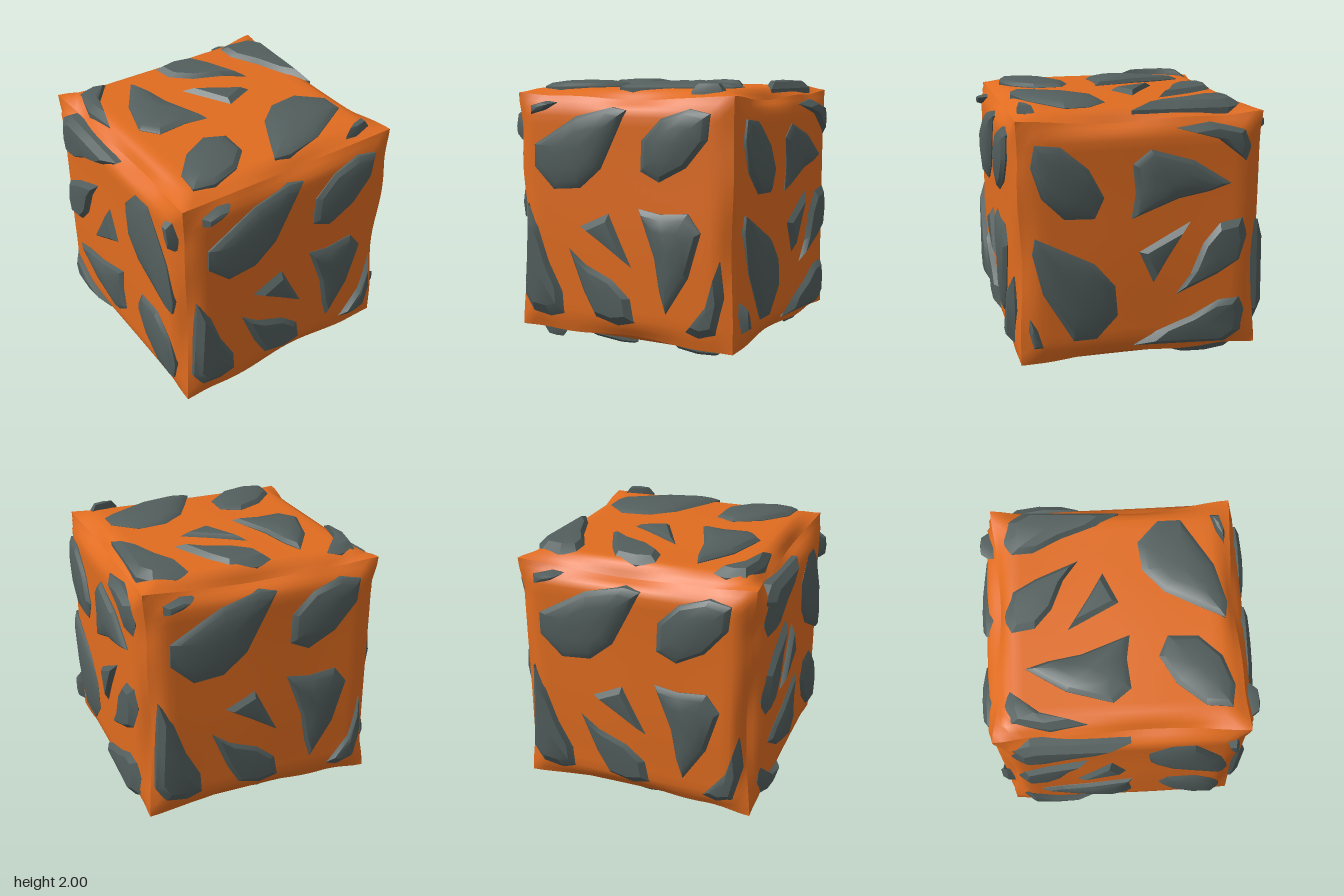
import * as THREE from 'three';
import { toCreasedNormals } from 'three/addons/utils/BufferGeometryUtils.js';

const orange = new THREE.MeshStandardMaterial({ name: 'moltenOrange', color: 0xe06c20 });
const grey = new THREE.MeshStandardMaterial({ name: 'stoneGrey', color: 0x525e5d });

// Stone outlines on one face, centred; the domed ones are smooth, the others have a bevelled top
const stones = [
  { name: 'largeStone', dome: true, pts: [[-.73, .52], [-.35, .74], [-.05, .81], [.07, .79], [0, .65], [-.15, .36], [-.33, .21], [-.56, .19], [-.73, .35]] },
  { name: 'roundStone', dome: true, pts: [[.2, .58], [.36, .74], [.58, .81], [.74, .78], [.72, .6], [.55, .4], [.34, .29], [.19, .36]] },
  { name: 'wedgeStone', dome: true, pts: [[.17, .09], [.35, .06], [.57, .08], [.67, -.05], [.57, -.38], [.39, -.66], [.34, -.5], [.3, -.26]] },
  { name: 'cornerChip', k: .65, pts: [[-.77, .81], [-.63, .845], [-.54, .835], [-.63, .78], [-.77, .74]] },
  { name: 'tallStone', k: .72, pts: [[-.82, .06], [-.72, -.08], [-.62, -.37], [-.5, -.6], [-.49, -.77], [-.62, -.8], [-.78, -.78], [-.86, -.65], [-.84, -.3]] },
  { name: 'slantedStone', k: .72, pts: [[-.46, -.23], [-.3, -.35], [-.05, -.45], [.11, -.59], [.14, -.77], [-.02, -.8], [-.21, -.76], [-.32, -.57]] },
  { name: 'triangleStone', k: .6, pts: [[-.36, -.07], [-.08, .06], [.14, -.38], [-.14, -.2]] },
  { name: 'sideShard', k: .65, pts: [[.81, -.24], [.84, -.5], [.78, -.77], [.65, -.81], [.54, -.78], [.72, -.55]] },
];

// Stack shrinking copies of an outline and close them at the middle
function stoneGeometry({ pts, dome, k }) {
  const outline = pts.map(([x, y]) => new THREE.Vector2(x, y));
  if (THREE.ShapeUtils.area(outline) < 0) outline.reverse();
  const n = outline.length;
  const mid = outline.reduce((s, p) => s.add(p), new THREE.Vector2()).divideScalar(n);
  const rings = dome
    ? [[1, .86], [1, .95], [.85, .977], [.5, .994]]
    : [[1, .86], [1, .93], [k, .983]];
  const pos = [], index = [];
  for (const [s, z] of rings)
    for (const p of outline) pos.push(mid.x + (p.x - mid.x) * s, mid.y + (p.y - mid.y) * s, z);
  pos.push(mid.x, mid.y, dome ? 1 : .993);
  for (let r = 0; r < rings.length; r++) {
    for (let i = 0; i < n; i++) {
      const a = r * n + i, b = r * n + (i + 1) % n;
      if (r === rings.length - 1) index.push(a, b, rings.length * n);
      else index.push(a, b, b + n, a, b + n, a + n);
    }
  }
  const geo = new THREE.BufferGeometry();
  geo.setAttribute('position', new THREE.Float32BufferAttribute(pos, 3));
  geo.setIndex(index);
  return toCreasedNormals(geo, .5);
}

// Cube whose faces sag unevenly toward creased edges
function bodyGeometry() {
  const geo = new THREE.BoxGeometry(2, 2, 2, 28, 28, 28);
  const pos = geo.attributes.position, v = new THREE.Vector3();
  for (let i = 0; i < pos.count; i++) {
    v.fromBufferAttribute(pos, i);
    const [c, b] = [Math.abs(v.x), Math.abs(v.y), Math.abs(v.z)].sort((p, q) => p - q);
    const edge = THREE.MathUtils.smoothstep(b, .78, 1.04);
    const corner = THREE.MathUtils.smoothstep(c, .6, 1);
    const wave = Math.sin(5 * v.x + 1) + Math.sin(5 * v.y + 2.5) + Math.sin(5 * v.z + .4);
    const sag = THREE.MathUtils.lerp(.075 + .014 * wave, .045, corner);
    v.multiplyScalar(.945 + .003 * wave * (1 - edge) - sag * edge);
    pos.setXYZ(i, v.x, v.y, v.z);
  }
  geo.computeVertexNormals();
  return geo;
}

export function createModel() {
  const model = new THREE.Group();
  model.name = 'rockCube';
  const body = new THREE.Mesh(bodyGeometry(), orange);
  body.name = 'body';
  body.position.y = 1;
  model.add(body);

  // The same stone pattern on every face, turned in its plane
  const h = Math.PI / 2;
  const faces = [
    ['frontStones', 0, 0, 0], ['backStones', 0, 2 * h, 0],
    ['leftStones', 0, h, h], ['rightStones', 0, -h, -h],
    ['topStones', -h, 0, 2 * h], ['bottomStones', h, 0, 0],
  ];
  const parts = stones.map((s) => [s.name, stoneGeometry(s)]);
  for (const [name, rx, ry, rz] of faces) {
    const face = new THREE.Group();
    face.name = name;
    face.position.y = 1;
    face.rotation.set(rx, ry, rz);
    for (const [partName, geo] of parts) {
      const stone = new THREE.Mesh(geo, grey);
      stone.name = partName;
      face.add(stone);
    }
    model.add(face);
  }
  return model;
}
